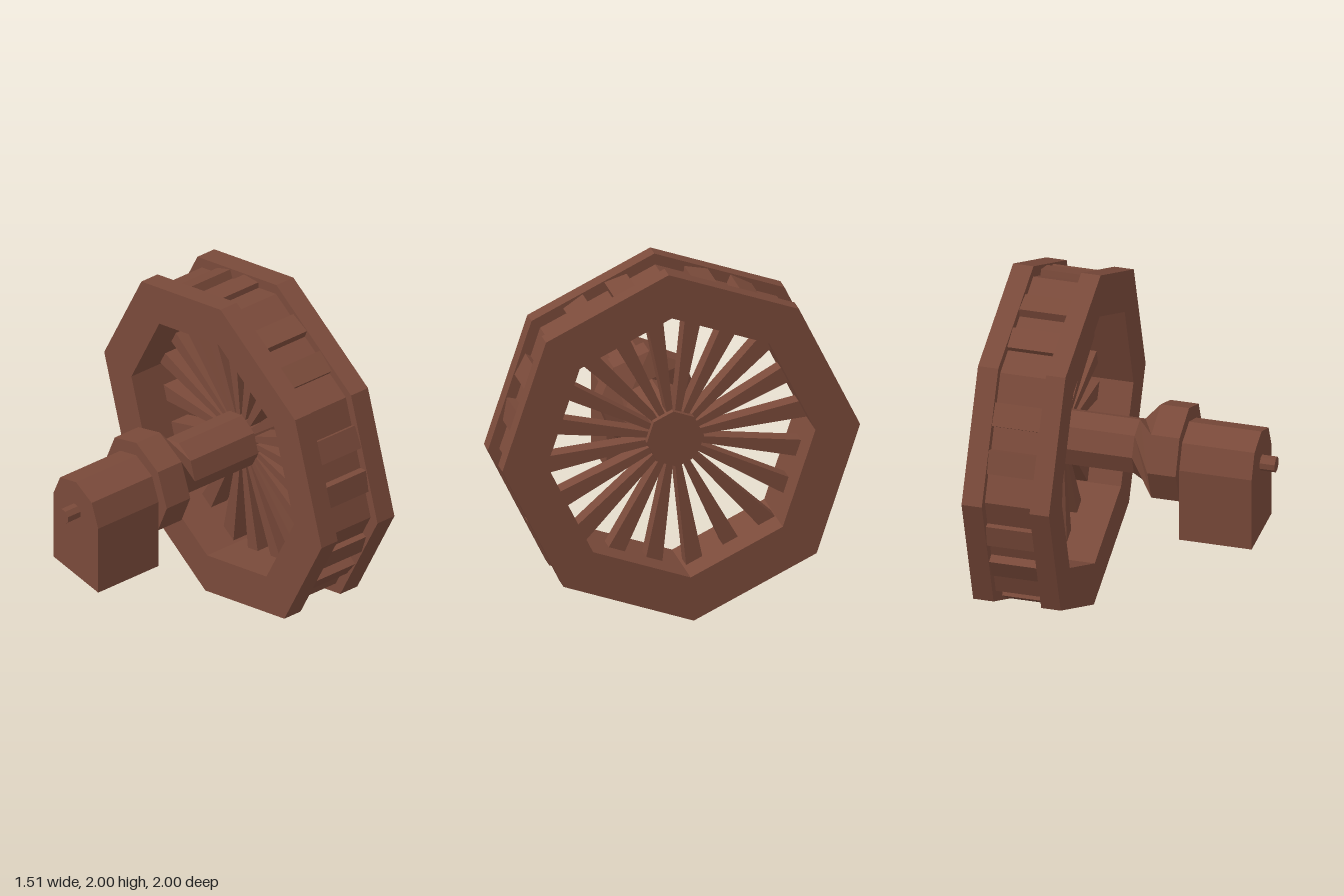
import * as THREE from 'three';

const DEG = Math.PI / 180;
const AXIS_Y = 1;

export function createModel() {
  const model = new THREE.Group();
  const material = new THREE.MeshStandardMaterial({ color: 0x7a4a3a, flatShading: true });

  // Octagon corners in the plane across the axle
  const octagon = (r, turn) => Array.from({ length: 8 }, (_, i) => {
    const a = (turn + i * 45) * DEG;
    return new THREE.Vector2(r * Math.cos(a), r * Math.sin(a));
  });

  // Four-sided radial wedge at a given angle
  const wedge = (r0, r1, half0, half1, angle) =>
    [[r0, -half0], [r1, -half1], [r1, half1], [r0, half0]].map(([x, y]) =>
      new THREE.Vector2(x, y).rotateAround(new THREE.Vector2(), angle * DEG));

  const addMesh = (name, geometry, parent = model) => {
    const mesh = new THREE.Mesh(geometry, material);
    mesh.name = name;
    parent.add(mesh);
  };

  // Extrudes an outline along x from x0 to x1, centred on the axle
  const addPrism = (name, points, x0, x1, parent, hole) => {
    const shape = new THREE.Shape(points);
    if (hole) shape.holes.push(new THREE.Path(hole));
    const geometry = new THREE.ExtrudeGeometry(shape, { depth: x1 - x0, bevelEnabled: false });
    geometry.rotateY(Math.PI / 2).translate(x0, AXIS_Y, 0);
    addMesh(name, geometry, parent);
  };

  // Wheel: two outer rims with a recessed drum between them
  const wheel = new THREE.Group();
  wheel.name = 'wheel';
  model.add(wheel);
  const opening = octagon(0.75, 4);
  addPrism('innerRim', octagon(1.0, 4), 0.26, 0.37, wheel, opening);
  addPrism('outerRim', octagon(1.0, 4), 0.64, 0.755, wheel, opening);
  addPrism('drum', octagon(0.937, 4), 0.37, 0.64, wheel, opening);

  // Two raised cleats on each face of the drum
  for (let i = 0; i < 8; i++) {
    for (const offset of [-8.3, 8.3]) {
      addPrism('cleat', wedge(0.8, 0.918, 0.06, 0.066, 26.5 + i * 45 + offset), 0.37, 0.64, wheel);
    }
  }

  // Tapered spokes
  for (let i = 0; i < 20; i++) {
    addPrism('spoke', wedge(0.1, 0.8, 0.015, 0.052, 9 + i * 18), 0.45, 0.56, wheel);
  }

  // Axle and its stepped collar
  addPrism('axle', octagon(0.16, 4), 0.02, 0.6);
  addPrism('collar', octagon(0.28, 0), -0.26, -0.1);

  // Twisted taper joining collar and axle
  const wide = octagon(0.28, 0);
  const narrow = octagon(0.16, 94);
  const positions = [];
  const corner = (p, x) => [x, AXIS_Y + p.y, -p.x];
  for (let i = 0; i < 8; i++) {
    const j = (i + 1) % 8;
    const a = corner(wide[i], -0.1), b = corner(wide[j], -0.1);
    const c = corner(narrow[j], 0.02), d = corner(narrow[i], 0.02);
    positions.push(...a, ...b, ...d, ...b, ...c, ...d);
  }
  const taper = new THREE.BufferGeometry();
  taper.setAttribute('position', new THREE.Float32BufferAttribute(positions, 3));
  taper.computeVertexNormals();
  addMesh('taper', taper);

  // Bearing block with a faceted top, and the shaft stub behind it
  const blockOutline = [[-0.205, -0.435], [0.205, -0.435], [0.205, 0], [0.145, 0.14],
    [0, 0.195], [-0.145, 0.14], [-0.205, 0]].map(([x, y]) => new THREE.Vector2(x, y));
  addPrism('bearingBlock', blockOutline, -0.67, -0.26);
  addPrism('shaftStub', octagon(0.044, 22.5), -0.755, -0.67);

  return model;
}
